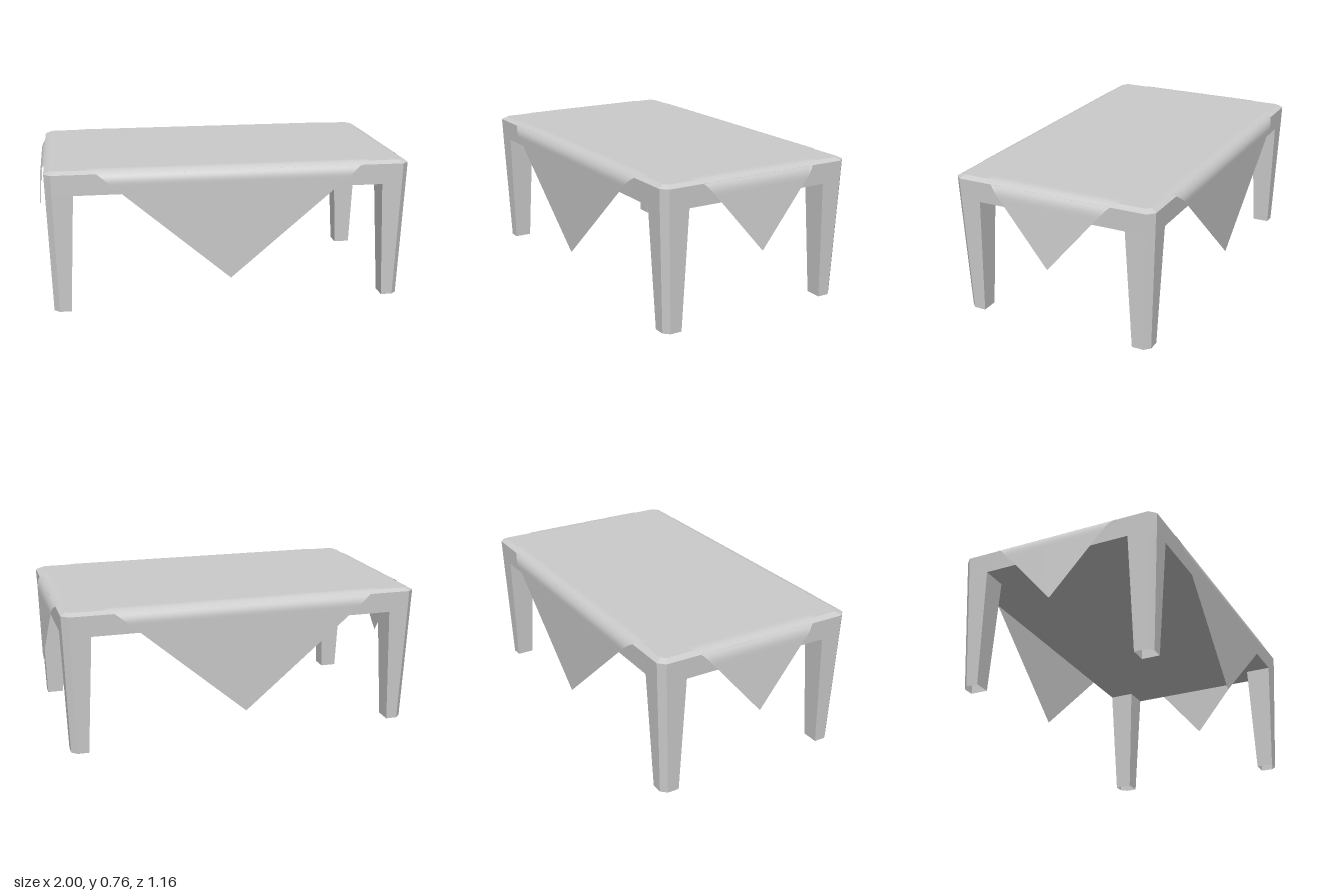
import * as THREE from 'three';

const woodMaterial = new THREE.MeshStandardMaterial({ color: 0xcccccc, flatShading: true, side: THREE.DoubleSide });
const clothMaterial = new THREE.MeshStandardMaterial({ color: 0xcccccc, side: THREE.DoubleSide });

// Skin a stack of cross-sections { y, pts: [[x, z], ...] }, ordered bottom to top
function loft(sections, capped) {
  const pos = [];
  const put = (s, i) => pos.push(s.pts[i][0], s.y, s.pts[i][1]);
  const n = sections[0].pts.length;
  for (let k = 0; k < sections.length - 1; k++) {
    const a = sections[k], b = sections[k + 1];
    for (let i = 0; i < n; i++) {
      const j = (i + 1) % n;
      put(a, i); put(a, j); put(b, j);
      put(a, i); put(b, j); put(b, i);
    }
  }
  if (capped) {
    const bottom = sections[0], top = sections[sections.length - 1];
    for (let i = 1; i < n - 1; i++) {
      put(top, 0); put(top, i); put(top, i + 1);
      put(bottom, 0); put(bottom, i + 1); put(bottom, i);
    }
  }
  const geo = new THREE.BufferGeometry();
  geo.setAttribute('position', new THREE.Float32BufferAttribute(pos, 3));
  geo.computeVertexNormals();
  return geo;
}

// Rectangle with cut corners
function cutRectangle(y, hx, hz, c) {
  return { y, pts: [
    [hx - c, hz], [hx, hz - c], [hx, c - hz], [hx - c, -hz],
    [c - hx, -hz], [-hx, c - hz], [-hx, hz - c], [c - hx, hz],
  ] };
}

// Leg section: a square with its outer corner cut, mirrored by sign
function legSection(y, x0, x1, z0, z1, c, sx, sz) {
  const pts = [[x0, z1], [x1 - c, z1], [x1, z1 - c], [x1, z0], [x0, z0]].map(([x, z]) => [x * sx, z * sz]);
  return { y, pts: sx * sz < 0 ? pts.reverse() : pts };
}

// Bend a flat distance over the table edge: returns [outward, drop]
function fold(d, flat, lean) {
  const r = 0.068, s = Math.abs(d) - flat, arc = r * Math.PI / 2;
  if (s <= 0) return [d, 0];
  if (s < arc) return [Math.sign(d) * (flat + r * Math.sin(s / r)), r * (1 - Math.cos(s / r))];
  return [Math.sign(d) * (flat + r + lean * (s - arc)), r + s - arc];
}

// Rhombus of cloth whose four tips hang over the sides
function clothGeometry() {
  const A = 1.356, B = 1.161, N = 110;
  const geo = new THREE.PlaneGeometry(2, 2, N, N);
  const p = geo.attributes.position;
  for (let i = 0; i < p.count; i++) {
    const s = p.getX(i), t = p.getY(i);
    const [x, dropX] = fold(A * (s + t) / 2, 0.912, 0.06);
    const [z, dropZ] = fold(B * (s - t) / 2, 0.512, -0.028);
    p.setXYZ(i, x, 0.765 - dropX - dropZ, z);
  }
  geo.computeVertexNormals();
  return geo;
}

export function createModel() {
  const group = new THREE.Group();
  group.name = 'tableWithCloth';
  const add = (name, geo, mat) => {
    const mesh = new THREE.Mesh(geo, mat);
    mesh.name = name;
    group.add(mesh);
  };

  // Thick top with a small bevel
  add('tableTop', loft([
    cutRectangle(0.635, 0.956, 0.556, 0.033),
    cutRectangle(0.745, 0.96, 0.56, 0.034),
    cutRectangle(0.76, 0.93, 0.53, 0.022),
  ], true), woodMaterial);

  // Four tapered hollow legs, open at the foot
  for (const sx of [1, -1]) for (const sz of [1, -1]) {
    const name = (sz > 0 ? 'front' : 'back') + (sx > 0 ? 'Left' : 'Right') + 'Leg';
    add(name, loft([
      legSection(0, 0.845, 0.935, 0.437, 0.53, 0.029, sx, sz),
      legSection(0.635, 0.815, 0.956, 0.411, 0.556, 0.033, sx, sz),
    ], false), woodMaterial);
  }

  add('tablecloth', clothGeometry(), clothMaterial);
  return group;
}
